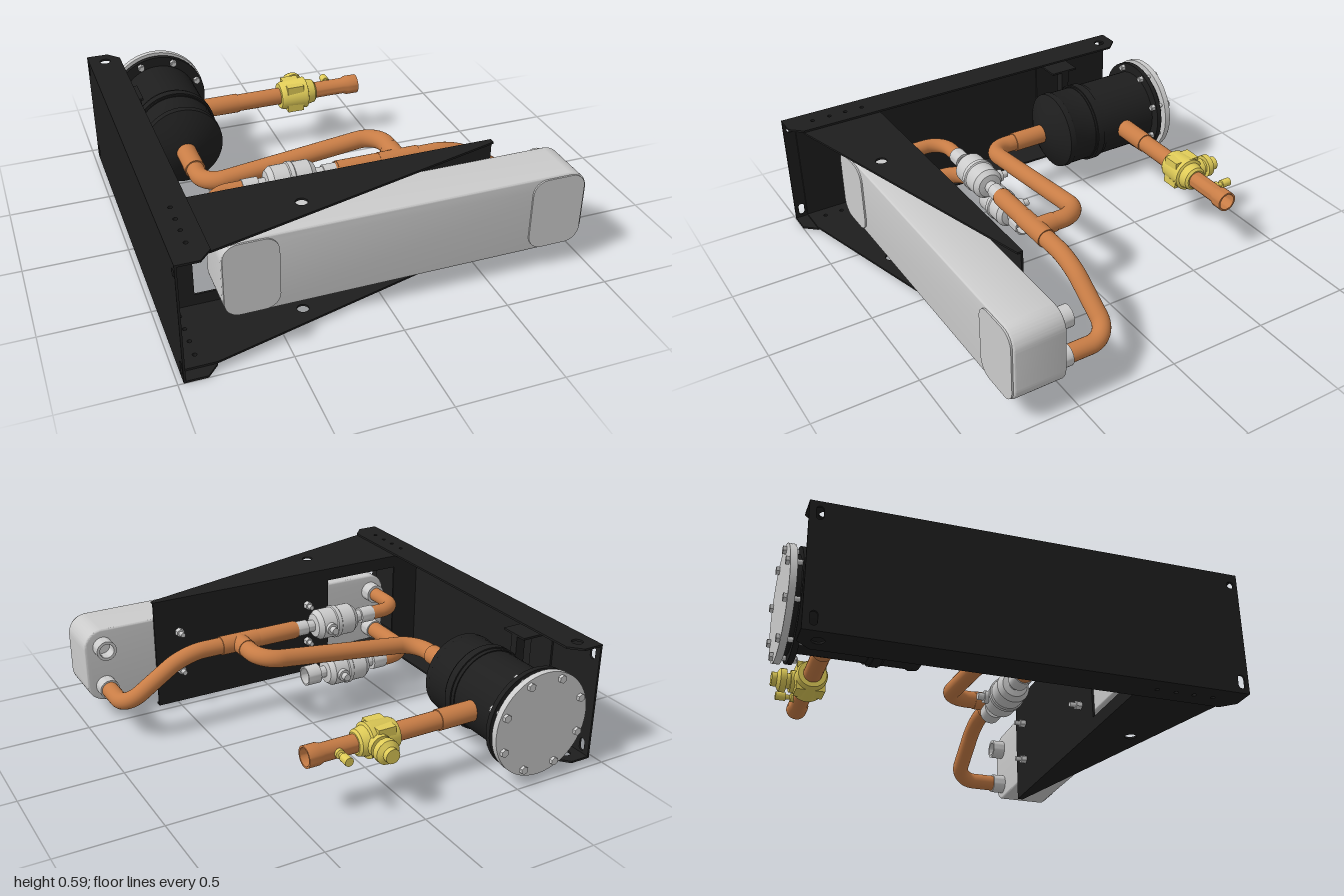
import * as THREE from 'three';
import { toCreasedNormals } from 'three/addons/utils/BufferGeometryUtils.js';

const mat = (color) => new THREE.MeshStandardMaterial({ color, side: THREE.DoubleSide });
const black = mat(0x1e1e1e), copper = mat(0xc87d46), brass = mat(0xe0cc58), grey = mat(0xcccccc);
const V = (p) => new THREE.Vector3(...p);

export function createModel() {
  const model = new THREE.Group();

  const add = (name, geo, material, pos = [0, 0, 0], rot = [0, 0, 0], parent = model) => {
    const m = new THREE.Mesh(geo, material);
    m.name = name;
    m.position.set(...pos);
    m.rotation.set(...rot);
    parent.add(m);
    return m;
  };
  const box = (name, x0, x1, y0, y1, z0, z1, material) =>
    add(name, new THREE.BoxGeometry(x1 - x0, y1 - y0, z1 - z0), material,
      [(x0 + x1) / 2, (y0 + y1) / 2, (z0 + z1) / 2]);

  // Turned part: profile of [position along axis, radius]
  const AXES = { x: [0, 0, -Math.PI / 2], z: [Math.PI / 2, 0, 0], '-z': [-Math.PI / 2, 0, 0] };
  const turned = (name, axis, pos, profile, material, sides = 32) => {
    const g = new THREE.LatheGeometry(profile.map(([a, r]) => new THREE.Vector2(r, a)), sides);
    return add(name, toCreasedNormals(g, 0.6), material, pos, AXES[axis]);
  };
  const rod = (name, axis, pos, a, b, r, material, sides = 24) =>
    turned(name, axis, pos, [[a, 0], [a, r], [b, r], [b, 0]], material, sides);

  // Bent pipe: straight runs joined by rounded elbows
  const pipe = (name, pts, r, bend, material = copper) => {
    const p = pts.map(V), path = new THREE.CurvePath();
    let from = p[0];
    for (let i = 1; i < p.length - 1; i++) {
      const a = p[i].clone().lerp(p[i - 1], bend / p[i].distanceTo(p[i - 1]));
      const b = p[i].clone().lerp(p[i + 1], bend / p[i].distanceTo(p[i + 1]));
      const ca = a.clone().lerp(p[i], 0.56), cb = b.clone().lerp(p[i], 0.56);
      path.add(new THREE.LineCurve3(from, a));
      path.add(new THREE.CubicBezierCurve3(a, ca, cb, b));
      from = b;
    }
    path.add(new THREE.LineCurve3(from, p[p.length - 1]));
    add(name, new THREE.TubeGeometry(path, 90, r, 24), material);
  };

  // Sheet metal: outline with round or slotted holes [u, v, radius, slotHalfLength]
  const sheet = (name, outline, holes, thickness, pos, rot, material = black) => {
    const s = new THREE.Shape(outline.map(([u, v]) => new THREE.Vector2(u, v)));
    for (const [u, v, r, h = 0] of holes) {
      const c = new THREE.Path();
      c.absarc(u, v + h, r, 0, Math.PI);
      c.absarc(u, v - h, r, Math.PI, 2 * Math.PI);
      c.closePath();
      s.holes.push(c);
    }
    return add(name, new THREE.ExtrudeGeometry(s, { depth: thickness, bevelEnabled: false }), material, pos, rot);
  };
  const rect = (u0, u1, v0, v1) => [[u0, v0], [u1, v0], [u1, v1], [u0, v1]];
  const FLAT = [Math.PI / 2, 0, 0], SIDE = [0, -Math.PI / 2, 0];

  // Side channel: web with mounting holes and two chamfered flanges
  sheet('channelWeb', rect(-0.94, 1, 0, 0.59),
    [[0.965, 0.535, 0.017], [0.965, 0.055, 0.016, 0.016], [-0.895, 0.535, 0.016, 0.016], [-0.895, 0.055, 0.016, 0.016]],
    0.01, [-0.965, 0, 0], SIDE);
  const flange = [[-0.975, -0.94], [-0.87, -0.94], [-0.815, -0.88], [-0.815, 0.94], [-0.87, 1], [-0.975, 1]];
  const flangeHoles = [[-0.895, -0.86, 0.027], ...[0.6, 0.69, 0.775, 0.865].map((z) => [-0.895, z, 0.01])];
  for (const y of [0.01, 0.59]) sheet('channelFlange', flange, flangeHoles, 0.01, [0, y, 0], FLAT);

  // Tapered bracket: windowed upright, side plate, top and bottom gussets
  const upright = sheet('bracketUpright', rect(-0.96, 0.61, 0.01, 0.58), [], 0.01, [0, 0, 0.533], [0, 0, 0]);
  const window_ = new THREE.Shape(rect(-0.96, 0.61, 0.01, 0.58).map((p) => new THREE.Vector2(...p)));
  window_.holes.push(new THREE.Path(rect(-0.81, -0.39, 0.075, 0.515).map((p) => new THREE.Vector2(...p))));
  upright.geometry = new THREE.ExtrudeGeometry(window_, { depth: 0.01, bevelEnabled: false });
  box('bracketSidePlate', -0.965, -0.955, 0.02, 0.57, 0.54, 0.94, black);
  const gusset = [[-0.96, 0.533], [0.61, 0.533], [0.61, 0.56], [-0.815, 0.94], [-0.96, 0.94]];
  const gussetHoles = [[-0.37, 0.73, 0.027], ...flangeHoles.slice(1)];
  for (const y of [0.02, 0.58]) sheet('bracketGusset', gusset, gussetHoles, 0.01, [0, y, 0], FLAT);

  // Plate heat exchanger with raised end pads
  const rounded = (x0, x1, y0, y1, r) => {
    const s = new THREE.Shape();
    s.absarc(x1 - r, y1 - r, r, 0, Math.PI / 2);
    s.absarc(x0 + r, y1 - r, r, Math.PI / 2, Math.PI);
    s.absarc(x0 + r, y0 + r, r, Math.PI, Math.PI * 1.5);
    s.absarc(x1 - r, y0 + r, r, Math.PI * 1.5, Math.PI * 2);
    return s;
  };
  const exchanger = new THREE.ExtrudeGeometry(rounded(-0.735, 0.963, 0.12, 0.48, 0.085),
    { depth: 0.232, bevelSize: 0.01, bevelThickness: 0.008, bevelSegments: 3, curveSegments: 12 });
  add('heatExchanger', toCreasedNormals(exchanger, 0.6), grey, [0, 0, 0.552]);
  for (const [x0, x1] of [[-0.74, -0.49], [0.7, 0.96]])
    add('exchangerEndPad', new THREE.ExtrudeGeometry(rounded(x0, x1, 0.12, 0.48, 0.07),
      { depth: 0.015, bevelEnabled: false }), grey, [0, 0, 0.785]);
  for (const x of [-0.66, 0.88]) for (const y of [0.19, 0.4])
    turned('exchangerPort', 'z', [x, y, 0], [[0.55, 0.05], [0.48, 0.05], [0.48, 0.036], [0.55, 0.036]].reverse(), grey);

  // Fixing studs on the bracket
  for (const x of [-0.26, 0.48]) for (const y of [0.19, 0.4]) {
    rod('studNut', 'z', [x, y, 0], 0.505, 0.535, 0.022, grey, 6);
    rod('stud', 'z', [x, y, 0], 0.475, 0.535, 0.012, grey, 12);
  }

  // Filter vessel
  const [fx, fy] = [-0.62, 0.295];
  turned('filterShell', 'z', [fx, fy, 0],
    [[-0.955, 0], [-0.955, 0.2], [-0.6, 0.2], [-0.6, 0.205], [-0.53, 0.205], [-0.53, 0.2], [-0.41, 0.2],
      [-0.4, 0.206], [-0.37, 0.203], [-0.35, 0.17], [-0.325, 0.12], [-0.305, 0.06], [-0.295, 0]], black, 48);
  rod('filterFlange', 'z', [fx, fy, 0], -0.93, -0.905, 0.25, black, 48);
  rod('filterGasket', 'z', [fx, fy, 0], -0.965, -0.925, 0.215, black, 48);
  rod('filterCover', 'z', [fx, fy, 0], -0.985, -0.955, 0.255, grey, 48);
  for (let i = 0; i < 8; i++) {
    const a = (i + 0.5) * Math.PI / 4;
    const p = [fx + 0.225 * Math.cos(a), fy + 0.225 * Math.sin(a), 0];
    rod('coverBolt', 'z', p, -0.99, -0.88, 0.011, grey, 12);
    rod('coverBoltHead', 'z', p, -1, -0.98, 0.02, grey, 6);
    rod('coverNut', 'z', p, -0.905, -0.885, 0.018, grey, 6);
  }
  // Saddle that ties the vessel to the channel
  for (const y of [0.05, 0.53]) box('saddleArm', -0.965, -0.78, y, y + 0.01, -0.63, -0.48, black);
  box('saddleBack', -0.965, -0.955, 0.05, 0.54, -0.63, -0.48, black);
  box('saddlePad', -0.83, -0.78, 0.05, 0.54, -0.58, -0.54, black);
  turned('saddleStrap', 'z', [fx, fy, 0],
    [[-0.58, 0.2], [-0.58, 0.212], [-0.54, 0.212], [-0.54, 0.2]], black, 48);

  // Pipe from vessel outlet up to the tee, and on to the exchanger
  pipe('vesselOutletPipe', [[fx, fy, -0.3], [fx, fy, 0.02], [0.27, 0.4, 0.02], [0.27, 0.4, 0.27]], 0.044, 0.11);
  rod('outletSleeve', 'z', [fx, fy, 0], -0.31, -0.13, 0.05, copper);
  pipe('exchangerOutletPipe', [[0.88, 0.19, 0.5], [0.88, 0.19, 0.27], [0.56, 0.4, 0.27], [-0.05, 0.4, 0.27]], 0.042, 0.1);
  rod('teeRun', 'x', [0, 0.4, 0.27], 0.17, 0.37, 0.047, copper);
  rod('teeBranch', 'z', [0.27, 0.4, 0], 0.17, 0.27, 0.047, copper);
  rod('teeSleeve', 'x', [0, 0.4, 0.27], -0.04, 0.215, 0.045, copper);

  // Two check valves on the left exchanger ports
  const valves = [
    { y: 0.4, z: 0.27, r: 0.036, bend: 0.1, end: -0.04, tail: 0.038 },
    { y: 0.19, z: 0.15, r: 0.043, bend: 0.13, end: -0.035, tail: 0.05 },
  ];
  for (const { y, z, r, bend, end, tail } of valves) {
    pipe('valveFeedPipe', [[-0.66, y, 0.5], [-0.66, y, z], [-0.44, y, z]], r, bend);
    turned('checkValve', 'x', [0, y, z],
      [[-0.5, 0], [-0.5, r + 0.005], [-0.425, r + 0.005], [-0.425, 0.03], [-0.39, 0.03], [-0.385, 0.06], [-0.36, 0.078],
        [-0.285, 0.078], [-0.28, 0.084], [-0.26, 0.084], [-0.255, 0.078], [-0.18, 0.078], [-0.155, 0.06], [-0.15, 0.03],
        [-0.11, 0.03], [-0.11, tail], [end, tail], [end, tail - 0.008], [end - 0.06, tail - 0.008], [end - 0.06, 0]], grey);
    turned('valveStem', '-z', [-0.215, y, z],
      [[0.05, 0.03], [0.095, 0.03], [0.095, 0.018], [0.125, 0.018], [0.125, 0]], grey, 16);
  }

  // Suction line with ball valve and service port
  const sy = 0.295, sz = -0.725;
  rod('vesselInletSleeve', 'x', [0, sy, sz], -0.46, -0.235, 0.05, copper);
  rod('inletPipe', 'x', [0, sy, sz], -0.3, 0.02, 0.045, copper);
  turned('inletPipeEnd', 'x', [0, sy, sz],
    [[0.18, 0.043], [0.365, 0.043], [0.385, 0.051], [0.445, 0.051], [0.445, 0.042], [0.25, 0.036]], copper);
  turned('ballValveBody', 'x', [0, sy, sz],
    [[0, 0], [0, 0.068], [0.015, 0.076], [0.12, 0.08], [0.13, 0.084], [0.145, 0.084], [0.15, 0.07],
      [0.19, 0.062], [0.2, 0.05], [0.2, 0]], brass);
  box('ballValveBlock', 0.03, 0.12, sy - 0.073, sy + 0.073, sz - 0.07, sz + 0.07, brass);
  turned('ballValveCap', '-z', [0.115, sy, sz],
    [[0.04, 0.055], [0.09, 0.055], [0.09, 0.038], [0.11, 0.038], [0.11, 0.058], [0.14, 0.058], [0.155, 0.035],
      [0.18, 0.035], [0.18, 0]], brass, 16);
  turned('servicePort', '-z', [0.3, sy, sz],
    [[0.03, 0.022], [0.055, 0.022], [0.06, 0.012], [0.08, 0.012], [0.08, 0.021], [0.13, 0.021], [0.13, 0]], brass, 16);

  return model;
}
